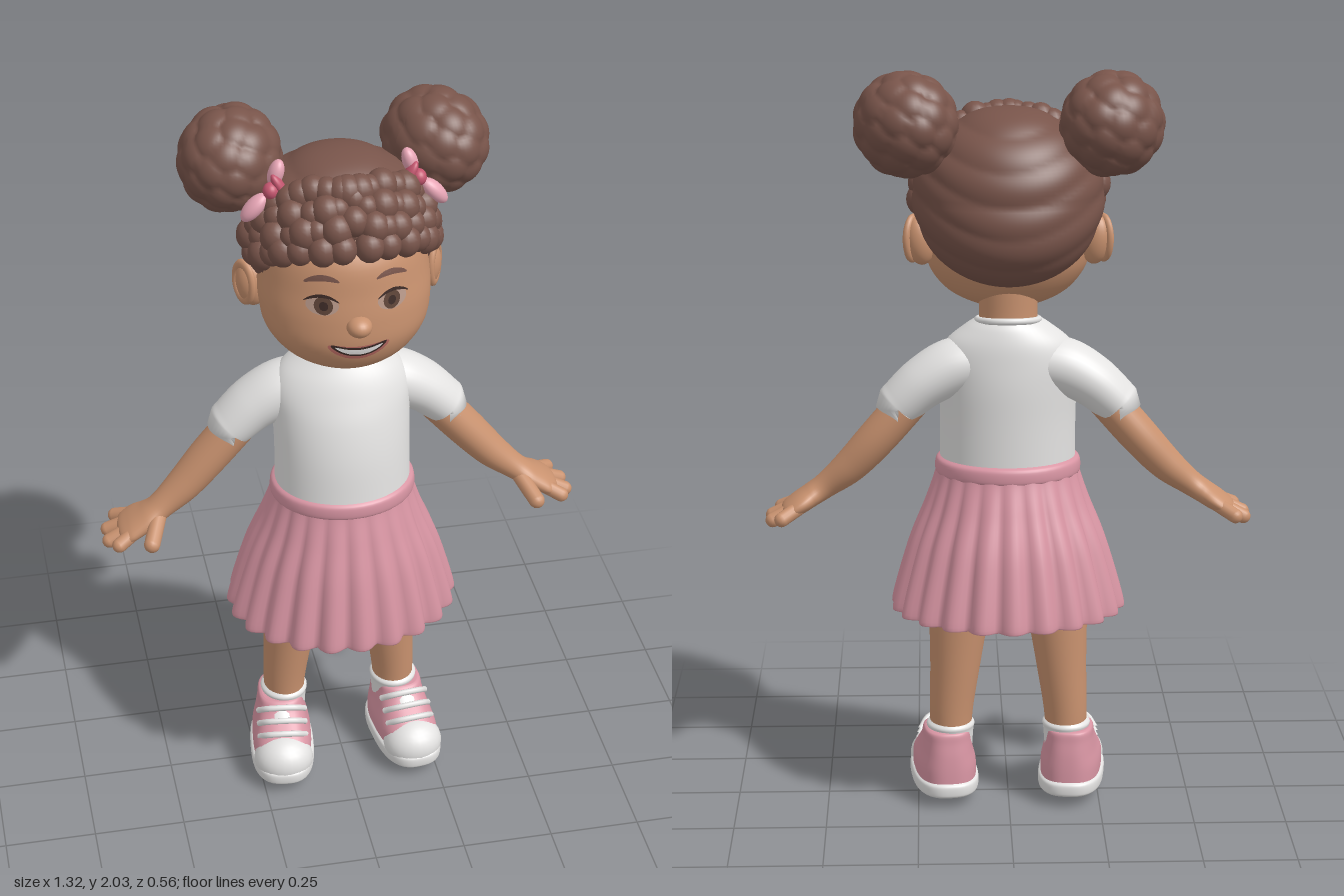
import * as THREE from 'three';

const V = (x, y, z) => new THREE.Vector3(x, y, z);
const mat = (name, color) => Object.assign(new THREE.MeshStandardMaterial({ color }), { name });

export function createModel() {
  const model = new THREE.Group();
  model.name = 'girl';
  const skin = mat('skin', 0xc9926f), hair = mat('hair', 0x78544a), pink = mat('pink', 0xd895a3),
    lightPink = mat('light pink', 0xe8a6b6), hotPink = mat('deep pink', 0xc4566f),
    white = mat('white', 0xe4e3e2), brown = mat('eye brown', 0x5e4438), dark = mat('lash dark', 0x3c2a26),
    lip = mat('lip', 0xb86a62), eyeTan = mat('eye tan', 0xb9998a);
  pink.side = THREE.DoubleSide;

  const add = (name, geometry, material, parent = model) => {
    const m = new THREE.Mesh(geometry, material);
    m.name = name;
    parent.add(m);
    return m;
  };
  const group = (name, parent = model) => {
    const g = new THREE.Group();
    g.name = name;
    parent.add(g);
    return g;
  };
  const ball = (name, material, p, r, parent = model, rot = [0, 0, 0], seg = 24) => {
    const m = add(name, new THREE.SphereGeometry(1, seg, Math.ceil(seg * 0.7)), material, parent);
    m.position.set(...p);
    m.scale.set(...r);
    m.rotation.set(...rot);
    return m;
  };
  // Smooth sweep through stations [x, y, z, radius, depth radius]; level ones run bottom to top
  const sweep = (st, { segs = 32, rows = 28, level = false, shape = () => 1, caps = true } = {}) => {
    const path = new THREE.CatmullRomCurve3(st.map(s => V(s[0], s[1], s[2])), false, 'catmullrom');
    const radii = new THREE.CatmullRomCurve3(st.map(s => V(s[3], s[4] ?? s[3], 0)), false, 'catmullrom');
    const pos = [], idx = [];
    for (let i = 0; i <= rows; i++) {
      const t = i / rows, c = path.getPoint(t), r = radii.getPoint(t);
      const T = level ? V(0, 1, 0) : path.getTangent(t);
      const N = T.clone().cross(V(0, 0, 1)).normalize(), B = N.clone().cross(T).negate();
      for (let j = 0; j < segs; j++) {
        const a = j / segs * Math.PI * 2, k = shape(a, t);
        const p = c.clone().addScaledVector(N, Math.cos(a) * r.x * k).addScaledVector(B, Math.sin(a) * r.y * k * (B.z < 0 ? -1 : 1));
        pos.push(p.x, p.y, p.z);
        if (i < rows) {
          const q = i * segs + j, w = i * segs + (j + 1) % segs;
          idx.push(q, q + segs, w, w, q + segs, w + segs);
        }
      }
    }
    if (caps) {
      const n = pos.length / 3, last = rows * segs;
      pos.push(...path.getPoint(0).toArray(), ...path.getPoint(1).toArray());
      for (let j = 0; j < segs; j++) {
        const k = (j + 1) % segs;
        idx.push(n, j, k, n + 1, last + k, last + j);
      }
    }
    const g = new THREE.BufferGeometry();
    g.setAttribute('position', new THREE.Float32BufferAttribute(pos, 3));
    g.setIndex(idx);
    g.computeVertexNormals();
    return g;
  };
  const bar = (name, material, a, b, r, parent) => {
    const A = V(...a), B = V(...b), d = B.clone().sub(A);
    const m = add(name, new THREE.CapsuleGeometry(r, d.length(), 6, 14), material, parent);
    m.position.copy(A.add(B).multiplyScalar(0.5));
    m.quaternion.setFromUnitVectors(V(0, 1, 0), d.normalize());
  };

  // Head: [y, half width, front z, back z]
  const headRings = [[1.355, 0.04, 0.12, 0], [1.365, 0.1, 0.168, -0.04], [1.4, 0.165, 0.212, -0.09],
    [1.46, 0.21, 0.238, -0.13], [1.53, 0.224, 0.238, -0.15], [1.6, 0.222, 0.228, -0.17],
    [1.69, 0.213, 0.21, -0.2], [1.77, 0.18, 0.15, -0.17], [1.82, 0.1, 0.08, -0.1]];
  const level = rings => rings.map(([y, x, f, b]) => [0, y, (f + b) / 2, x, (f - b) / 2]);
  const head = add('head', sweep(level(headRings), { level: true, segs: 48, rows: 48 }), skin);
  ball('nose', skin, [0, 1.53, 0.238], [0.033, 0.027, 0.036]);
  add('neck', sweep([[0, 1.26, -0.03, 0.085, 0.08], [0, 1.33, -0.025, 0.078, 0.075], [0, 1.42, -0.02, 0.08, 0.08]], { level: true }), skin);

  // Thin face details laid onto the head surface
  const face = group('face');
  const ray = new THREE.Raycaster();
  head.material.side = THREE.FrontSide;
  const patch = (name, material, cx, cy, rx, ry, lift, { bend = 0, tilt = 0 } = {}) => {
    const g = new THREE.RingGeometry(0, 1, 28, 4), p = g.attributes.position;
    for (let i = 0; i < p.count; i++) {
      const u = p.getX(i), x = cx + u * rx, y = cy + p.getY(i) * ry + bend * u * u + tilt * u;
      ray.set(V(x, y, 1), V(0, 0, -1));
      const hit = ray.intersectObject(head)[0];
      p.setXYZ(i, x, y, (hit ? hit.point.z : 0.2) + lift);
    }
    g.computeVertexNormals();
    add(name, g, material, face);
  };
  for (const s of [1, -1]) {
    patch('eye', eyeTan, s * 0.09, 1.588, 0.04, 0.026, 0.002);
    patch('iris', brown, s * 0.088, 1.588, 0.023, 0.024, 0.004);
    patch('pupil', dark, s * 0.088, 1.588, 0.011, 0.012, 0.006);
    patch('eyelash', dark, s * 0.092, 1.615, 0.043, 0.0045, 0.006, { bend: -0.017 });
    patch('eyebrow', hair, s * 0.09, 1.662, 0.043, 0.008, 0.005, { bend: -0.012, tilt: -s * 0.003 });
  }
  patch('lips', lip, 0, 1.452, 0.08, 0.021, 0.002, { bend: 0.022 });
  patch('mouth', dark, 0, 1.456, 0.073, 0.014, 0.004, { bend: 0.022 });
  patch('teeth', white, 0, 1.457, 0.062, 0.008, 0.006, { bend: 0.017 });

  // Hair cap: ridged ellipsoid, drawn inside the head in front of the hairline
  const cap = new THREE.SphereGeometry(1, 96, 72), cp = cap.attributes.position;
  for (let i = 0; i < cp.count; i++) {
    const v = V().fromBufferAttribute(cp, i);
    const ridge = 1 - 0.022 * (1 - Math.abs(Math.sin((v.y - v.x * v.x * 0.45) * 8.5)));
    const p = V(v.x * 0.255, v.y * 0.232, v.z * 0.232).multiplyScalar(ridge);
    if (p.y < 0) p.z += p.y * 0.3;
    const over = p.y + 1.665 - (1.52 + 1.2 * (p.z - 0.03));
    p.multiplyScalar(THREE.MathUtils.lerp(0.75, 1, THREE.MathUtils.smoothstep(over, -0.03, 0.015)));
    cp.setXYZ(i, p.x, p.y + 1.665, p.z - 0.03);
  }
  cap.computeVertexNormals();
  add('hairCap', cap, hair);

  // Curly fringe
  const fringe = group('fringe');
  for (let i = -7; i <= 7; i++) {
    const a = i / 7 * 1.42, end = 1.715 - 0.09 * (i / 7) ** 2 + (i === 0 ? 0.06 : 0);
    for (let k = 0; k < 4; k++) {
      const y = Math.min(end + 0.02 + k * 0.043, 1.85), rad = Math.sqrt(1 - ((y - 1.665) / 0.235) ** 2);
      const w = a + 0.05 * Math.sin(i * 5 + k * 2.3), r = 0.037 + 0.005 * Math.sin(i * 3 + k * 4);
      ball('curl', hair, [0.232 * rad * Math.sin(w), y, -0.03 + 0.24 * rad * Math.cos(w)], [r, r * 1.1, r], fringe, [0, 0, 0], 16);
    }
  }

  // Curly bun: sphere swollen around evenly spread points
  const bun = new THREE.SphereGeometry(1, 72, 54), bp = bun.attributes.position, lumps = [];
  for (let i = 0; i < 46; i++) {
    const y = 1 - (i + 0.5) / 23, q = Math.sqrt(1 - y * y), a = i * 2.39996;
    lumps.push(V(q * Math.cos(a), y, q * Math.sin(a)));
  }
  for (let i = 0; i < bp.count; i++) {
    const v = V().fromBufferAttribute(bp, i);
    const d = Math.min(...lumps.map(l => l.distanceTo(v)));
    v.multiplyScalar(0.84 + 0.16 * Math.sqrt(Math.max(0, 1 - (d / 0.4) ** 2)));
    bp.setXYZ(i, v.x, v.y, v.z);
  }
  bun.computeVertexNormals();

  // Shirt body
  add('shirt', sweep(level([[0.92, 0.184, 0.182, -0.14], [1.05, 0.183, 0.168, -0.14], [1.15, 0.186, 0.145, -0.14],
    [1.22, 0.188, 0.118, -0.135], [1.27, 0.165, 0.095, -0.128], [1.31, 0.118, 0.07, -0.115], [1.332, 0.085, 0.052, -0.1]]),
    { level: true, segs: 48, rows: 36 }), white);
  const collar = add('collar', new THREE.TorusGeometry(0.082, 0.009, 10, 40), white);
  collar.rotation.x = Math.PI / 2 + 0.12;
  collar.position.set(0, 1.327, -0.025);

  // Pleated skirt with waistband and an under layer
  const pleat = (a, t) => 1 + Math.min(1, (1 - t) * 1.25) * 0.1 * (Math.abs(Math.sin(a * 11 + 0.3)) - 0.75);
  add('skirt', sweep(level([[0.525, 0.295, 0.26, -0.258], [0.535, 0.312, 0.273, -0.27], [0.7, 0.268, 0.243, -0.23],
    [0.82, 0.222, 0.21, -0.185], [0.9, 0.196, 0.187, -0.155], [0.94, 0.19, 0.182, -0.148]]),
    { level: true, segs: 176, rows: 36, shape: pleat, caps: false }), pink);
  add('waistband', sweep(level([[0.895, 0.186, 0.178, -0.145], [0.905, 0.197, 0.19, -0.155], [0.935, 0.195, 0.189, -0.153],
    [0.947, 0.18, 0.175, -0.138]]), { level: true, segs: 48, rows: 16 }), pink);
  ball('underLayer', hotPink, [0, 0.68, -0.01], [0.2, 0.1, 0.15]);

  const square = a => (Math.abs(Math.cos(a)) ** 2.7 + Math.abs(Math.sin(a)) ** 2.7) ** (-1 / 2.7);
  for (const s of [1, -1]) {
    const side = s > 0 ? 'left' : 'right';
    const mirror = st => st.map(([x, ...rest]) => [x * s, ...rest]);

    // Ear, bun and bow
    ball(side + 'Ear', skin, [s * 0.232, 1.54, -0.02], [0.04, 0.066, 0.036], model, [0, s * 0.4, -s * 0.12]);
    const rim = add(side + 'EarRim', new THREE.TorusGeometry(0.034, 0.01, 10, 28), skin);
    rim.position.set(s * 0.252, 1.545, -0.015);
    rim.rotation.set(0, s * 1.05, 0);
    rim.scale.y = 1.5;
    const b = add(side + 'Bun', bun, hair);
    b.position.set(s * 0.267, 1.86, -0.105);
    b.scale.set(0.136, 0.14, 0.152);
    b.rotation.y = s * 0.5;
    const bow = group(side + 'Bow');
    ball('bowLoop', lightPink, [s * 0.232, 1.795, 0.05], [0.022, 0.046, 0.026], bow, [0, 0, s * 0.75]);
    ball('bowLoop', lightPink, [s * 0.172, 1.875, 0.03], [0.02, 0.038, 0.024], bow, [0, 0, s * 0.3]);
    ball('bowKnot', hotPink, [s * 0.19, 1.84, 0.055], [0.02, 0.022, 0.022], bow);
    ball('bowTail', hotPink, [s * 0.168, 1.85, 0.05], [0.014, 0.036, 0.02], bow, [0, 0, -s * 0.5]);

    // Sleeve and arm
    add(side + 'Sleeve', sweep(mirror([[0.07, 1.215, -0.03, 0.07, 0.08], [0.15, 1.2, -0.035, 0.076, 0.085], [0.225, 1.16, -0.04, 0.07, 0.083],
      [0.285, 1.108, -0.04, 0.063, 0.077], [0.293, 1.1, -0.04, 0.06, 0.073], [0.29, 1.103, -0.04, 0.045, 0.055]]), { rows: 40 }), white);
    add(side + 'Arm', sweep(mirror([[0.25, 1.125, -0.04, 0.053, 0.06], [0.35, 1.01, -0.04, 0.052, 0.061], [0.425, 0.928, -0.032, 0.046, 0.053],
      [0.49, 0.873, -0.022, 0.035, 0.044], [0.53, 0.845, -0.02, 0.031, 0.058], [0.57, 0.82, -0.027, 0.028, 0.072],
      [0.6, 0.802, -0.03, 0.021, 0.062], [0.61, 0.796, -0.03, 0.003, 0.012]]), { rows: 48 }), skin);
    const hand = group(side + 'Hand');
    for (const [z0, x, z] of [[-0.07, 0.61, -0.105], [-0.045, 0.636, -0.062], [-0.015, 0.638, -0.008], [0.012, 0.616, 0.036]])
      bar('finger', skin, [s * 0.565, 0.82, z0], [s * x, 0.82 - (x - 0.565) * 0.5, z], 0.02, hand);
    bar('thumb', skin, [s * 0.505, 0.852, 0.01], [s * 0.533, 0.818, 0.083], 0.022, hand);

    // Leg and sock
    add(side + 'Leg', sweep(mirror([[0.158, 0.12, -0.038, 0.054, 0.062], [0.158, 0.22, -0.038, 0.059, 0.066], [0.146, 0.36, -0.034, 0.069, 0.075],
      [0.133, 0.52, -0.028, 0.083, 0.086], [0.12, 0.68, -0.025, 0.09, 0.092]]), { level: true }), skin);
    add(side + 'Sock', sweep(mirror([[0.162, 0.1, -0.038, 0.06, 0.066], [0.16, 0.17, -0.038, 0.063, 0.069], [0.16, 0.19, -0.038, 0.066, 0.072],
      [0.16, 0.202, -0.038, 0.055, 0.062]]), { level: true }), white);

    // Sneaker
    const shoe = group(side + 'Shoe');
    shoe.position.set(s * 0.178, 0, 0.022);
    shoe.rotation.y = s * 0.12;
    const block = (name, rings, material) =>
      add(name, sweep(level(rings), { level: true, segs: 48, rows: 24, shape: square }), material, shoe);
    block('sole', [[0, 0.084, 0.158, -0.155], [0.008, 0.09, 0.166, -0.162], [0.032, 0.09, 0.166, -0.162], [0.042, 0.08, 0.155, -0.152]], white);
    block('upper', [[0.03, 0.083, 0.145, -0.154], [0.075, 0.083, 0.14, -0.152], [0.115, 0.073, 0.09, -0.148],
      [0.15, 0.066, 0.04, -0.142], [0.175, 0.063, 0.02, -0.138], [0.182, 0.054, 0.01, -0.128]], pink);
    ball('toeCap', white, [0, 0.042, 0.088], [0.084, 0.072, 0.077], shoe);
    ball('tongue', white, [0, 0.135, 0.03], [0.04, 0.02, 0.072], shoe, [0.75, 0, 0]);
    for (let i = 0; i < 3; i++) {
      const y = 0.118 + i * 0.025, z = 0.088 - i * 0.028;
      const lace = new THREE.CatmullRomCurve3([V(-0.066, y - 0.022, z - 0.03), V(-0.035, y + 0.006, z), V(0.035, y + 0.006, z), V(0.066, y - 0.022, z - 0.03)]);
      add('lace', new THREE.TubeGeometry(lace, 16, 0.009, 8), white, shoe);
    }
  }
  return model;
}
